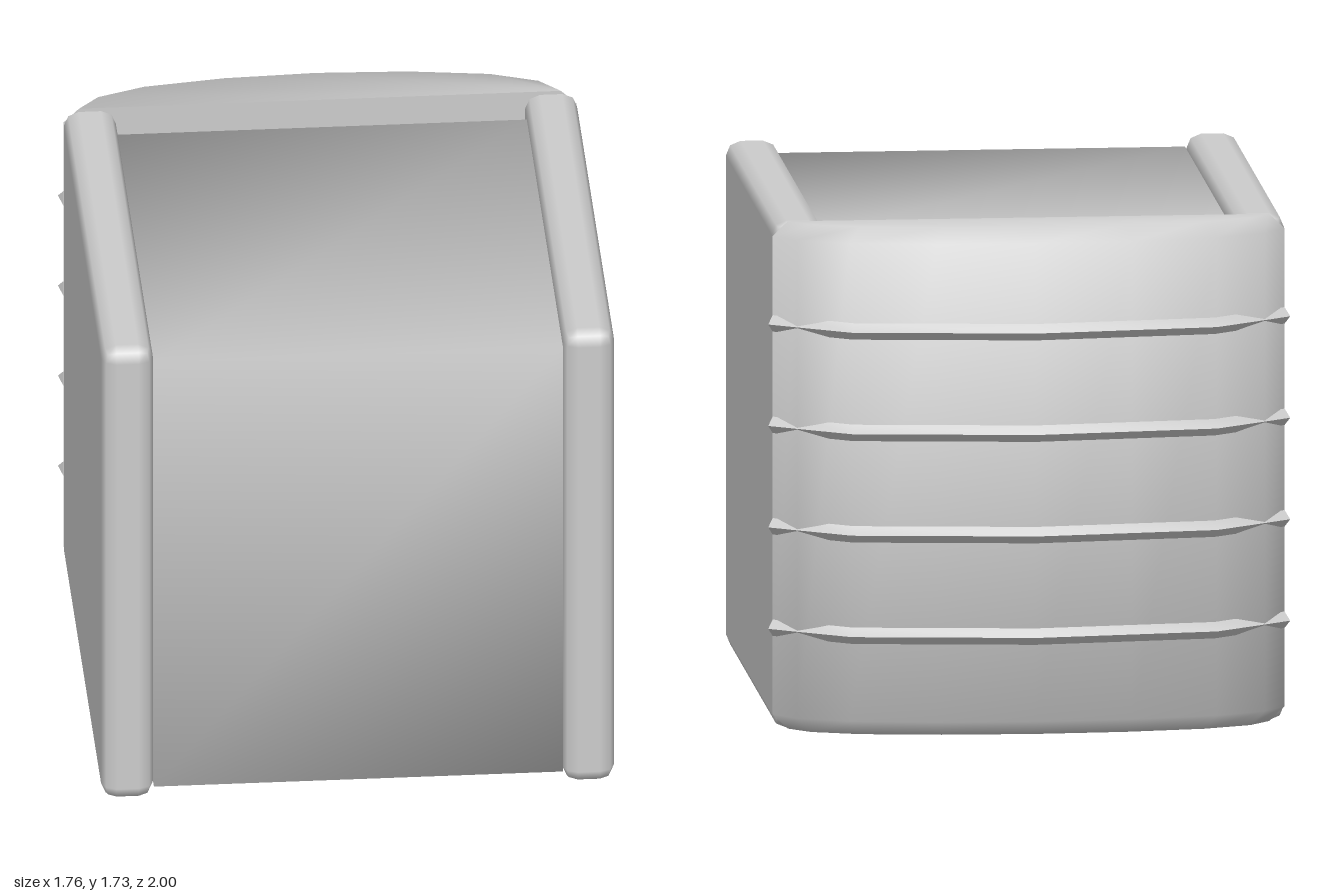
import * as THREE from 'three';
import { mergeVertices, toCreasedNormals } from 'three/addons/utils/BufferGeometryUtils.js';
import { RoundedBoxGeometry } from 'three/addons/geometries/RoundedBoxGeometry.js';

const V = (x, y, z) => new THREE.Vector3(x, y, z);

// Skin a list of equal-length closed rings and cap both ends
function loft(rings) {
  const n = rings[0].length, last = (rings.length - 1) * n, index = [];
  for (let i = 0; i < rings.length - 1; i++) {
    for (let j = 0; j < n; j++) {
      const a = i * n + j, b = i * n + (j + 1) % n;
      index.push(a, b, b + n, a, b + n, a + n);
    }
  }
  for (let j = 1; j < n - 1; j++) {
    index.push(0, j + 1, j, last, last + j, last + j + 1);
  }
  const geo = new THREE.BufferGeometry().setFromPoints(rings.flat());
  geo.setIndex(index);
  return toCreasedNormals(geo, 1.0);
}

// Mirror a half outline ([x, z], from the left edge to the centre) to the other side
const mirrored = (half) => [...half, ...half.slice(0, -1).reverse().map(([x, z]) => [-x, z])];

export function createModel() {
  const model = new THREE.Group();
  const material = new THREE.MeshStandardMaterial({ color: 0xcccccc });
  const add = (name, geo) => {
    const mesh = new THREE.Mesh(geo, material);
    mesh.name = name;
    model.add(mesh);
    return mesh;
  };

  // Core block with soft shading shared across its corners
  let core = new THREE.BoxGeometry(1.38, 1.63, 1.59);
  core.deleteAttribute('normal');
  core.deleteAttribute('uv');
  core = mergeVertices(core);
  core.computeVertexNormals();
  add('coreBlock', core).position.set(0, 0.865, 0.195);

  // Side panels: chamfered slabs with a tighter chamfer at the rear
  for (const side of [1, -1]) {
    const slab = new RoundedBoxGeometry(0.175, 1.73, 1.695, 1, 0.05);
    const p = slab.attributes.position;
    for (let i = 0; i < p.count; i++) {
      const z = p.getZ(i);
      if (z < -0.75 && z > -0.84) p.setZ(i, -0.8475 + (z + 0.8475) * 0.35);
    }
    add(side > 0 ? 'leftPanel' : 'rightPanel', slab).position.set(side * 0.778, 0.865, 0.1525);
  }

  // Bowed back cover, chamfered along its top and bottom
  const outline = mirrored([[0.865, -0.7], [0.79, -0.795], [0.62, -0.87], [0.33, -0.918], [0, -0.935]]);
  const coverRing = (y, sx, sz) => outline.map(([x, z]) => V(x * sx, y, -0.7 + (z + 0.7) * sz));
  add('backCover', loft([
    coverRing(0, 0.94, 0.8), coverRing(0.05, 1, 1),
    coverRing(1.68, 1, 1), coverRing(1.73, 0.94, 0.8),
  ]));

  // Diamond-section ribs wrapped around the back cover
  const path = mirrored([[0.865, -0.707], [0.775, -0.775], [0.61, -0.898], [0, -0.972]]);
  const r = 0.028;
  const ribRings = path.map(([x, z], i) => {
    const a = path[Math.max(i - 1, 0)], b = path[Math.min(i + 1, path.length - 1)];
    const t = new THREE.Vector2(b[0] - a[0], b[1] - a[1]).normalize().multiplyScalar(r);
    return [V(x, r, z), V(x - t.y, 0, z + t.x), V(x, -r, z), V(x + t.y, 0, z - t.x)];
  });
  const rib = loft(ribRings);
  for (let i = 1; i <= 4; i++) add('backRib' + i, rib).position.y = i * 0.346;

  return model;
}
